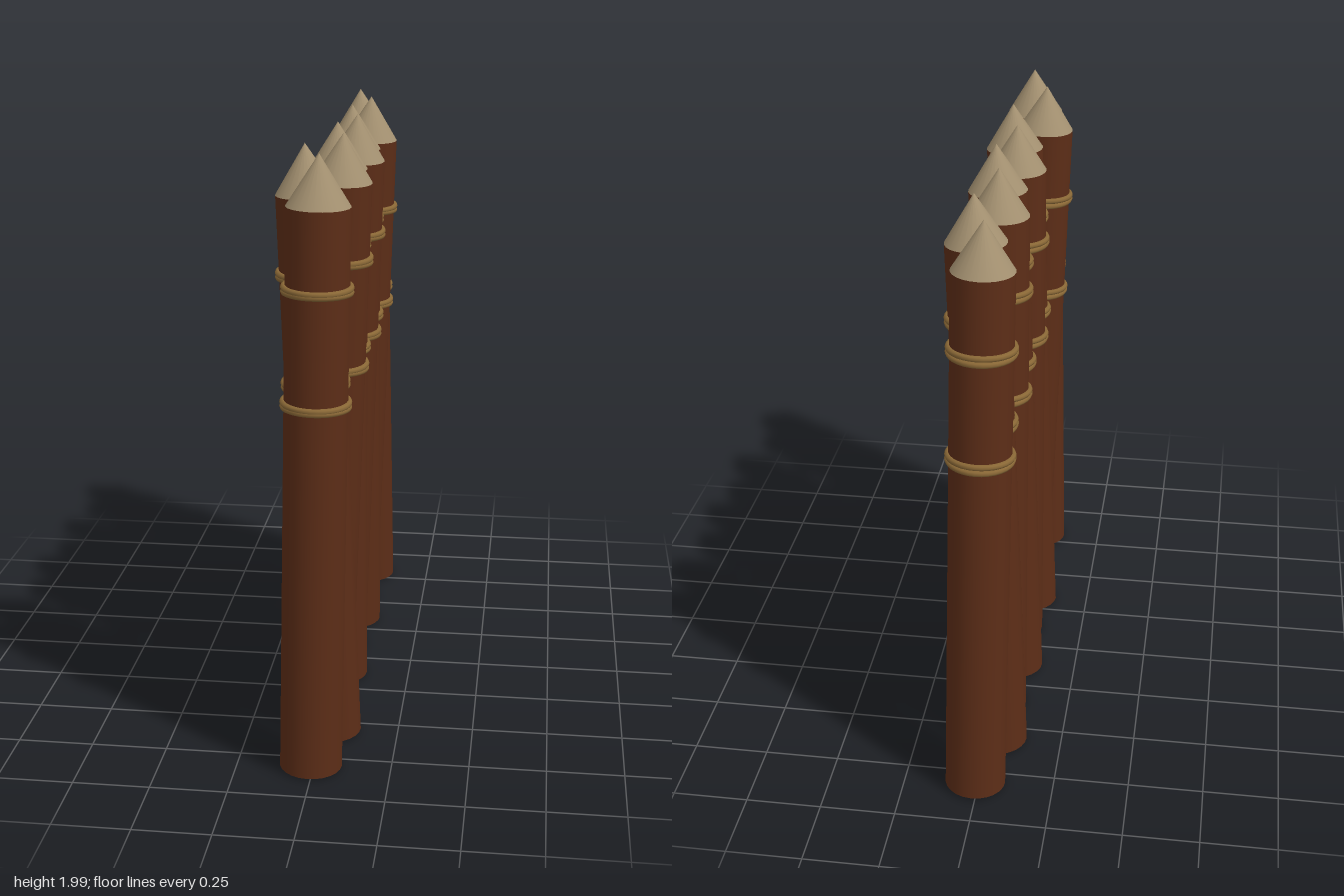
import * as THREE from 'three';

const bark = new THREE.MeshStandardMaterial({ color: 0x5c2d17 });
const cutWood = new THREE.MeshStandardMaterial({ color: 0xa39070 });
const rope = new THREE.MeshStandardMaterial({ color: 0x8a6836 });

const BASE_Y = 0.012, TIP_Y = 2, SHOULDER = 1.832;

// Foot and tip of every leaning post: [footX, footZ, tipX, tipZ]
const POSTS = [
  [-0.01, 0.799, 0.024, 0.794],
  [0.025, 0.553, -0.046, 0.595],
  [-0.03, 0.32, 0.046, 0.376],
  [0, 0.124, 0, 0.146],
  [-0.03, -0.122, 0.043, -0.05],
  [0, -0.352, 0, -0.279],
  [-0.03, -0.561, 0.043, -0.511],
  [0.012, -0.8, -0.02, -0.724],
];

function addPart(parent, name, geometry, material, y) {
  const mesh = new THREE.Mesh(geometry, material);
  mesh.name = name;
  mesh.position.y = y;
  parent.add(mesh);
  return mesh;
}

export function createModel() {
  const palisade = new THREE.Group();
  palisade.name = 'palisade';

  const tipHeight = TIP_Y - BASE_Y - SHOULDER;
  const logGeometry = new THREE.CylinderGeometry(0.098, 0.101, SHOULDER, 24);
  const tipGeometry = new THREE.ConeGeometry(0.098, tipHeight, 24);
  const ropeGeometry = new THREE.TorusGeometry(0.101, 0.01, 8, 32).rotateX(Math.PI / 2);

  POSTS.forEach(([footX, footZ, tipX, tipZ], i) => {
    const foot = new THREE.Vector3(footX, BASE_Y, footZ);
    const axis = new THREE.Vector3(tipX, TIP_Y, tipZ).sub(foot).normalize();
    const post = new THREE.Group();
    post.name = `post${i + 1}`;
    post.position.copy(foot);
    post.quaternion.setFromUnitVectors(new THREE.Vector3(0, 1, 0), axis);

    addPart(post, 'log', logGeometry, bark, SHOULDER / 2);
    addPart(post, 'sharpenedTip', tipGeometry, cutWood, SHOULDER + tipHeight / 2);

    // Two lashings, each of two rope turns
    for (const y of [1.226, 1.583]) {
      for (const side of [-1, 1]) {
        const turn = addPart(post, 'ropeTurn', ropeGeometry, rope, y + side * 0.007);
        turn.rotation.x = side * 0.03;
      }
    }
    palisade.add(post);
  });
  return palisade;
}
